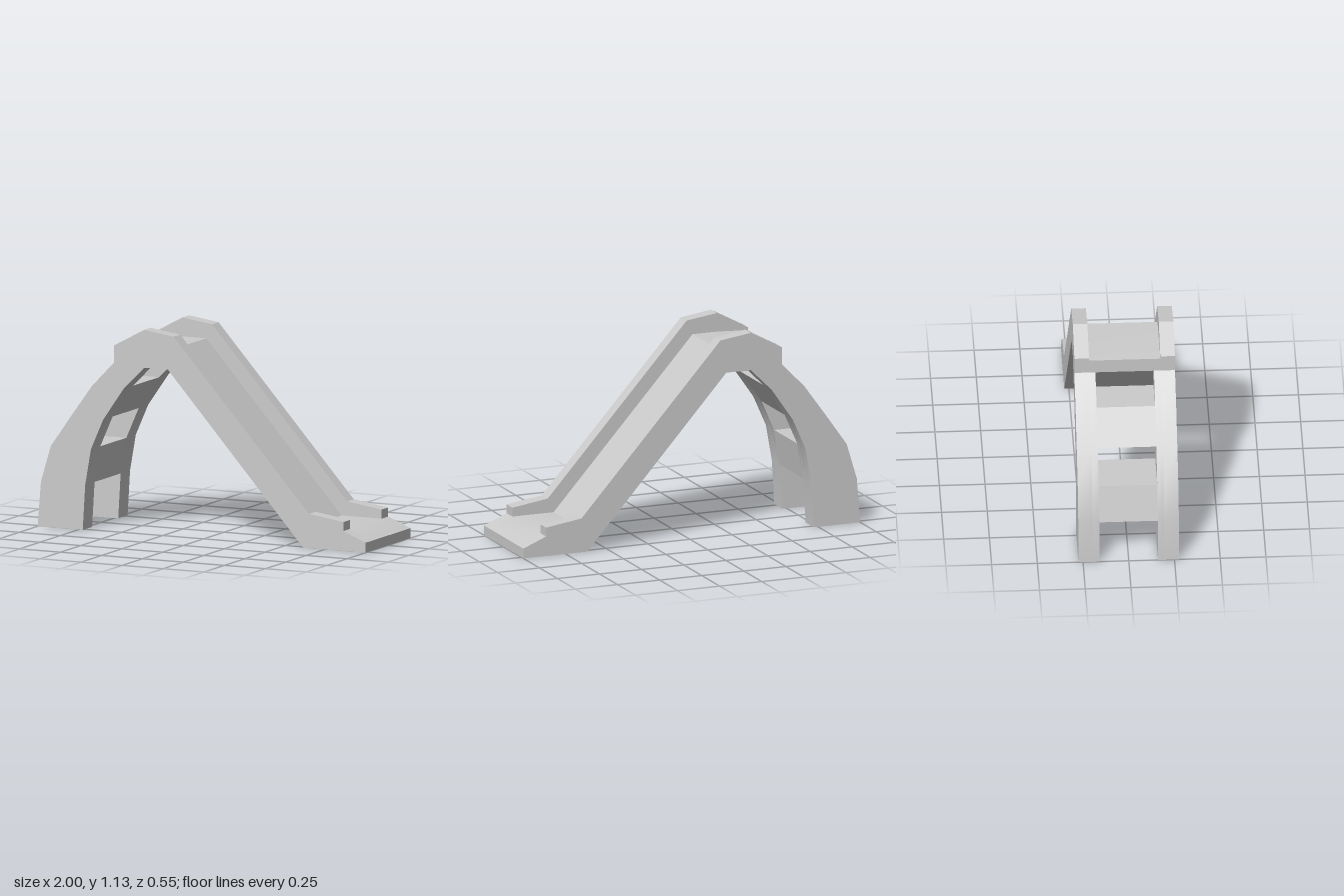
import * as THREE from 'three';
import { toCreasedNormals } from 'three/addons/utils/BufferGeometryUtils.js';

const material = new THREE.MeshStandardMaterial({ color: 0xcccccc });

// Half widths: whole slide, chute between the rails, gap between the legs
const OUTER = 0.275, CHUTE = 0.195, GAP = 0.16;

// Curved ladder edges, from the ground up
const back = [[-1, 0], [-0.98, 0.25], [-0.92, 0.45], [-0.8, 0.62], [-0.67, 0.8], [-0.535, 0.94]];
const inner = [[-0.725, 0], [-0.71, 0.25], [-0.675, 0.45], [-0.6, 0.62], [-0.475, 0.8], [-0.35, 0.925]];

// Extrudes an xy profile between two z positions
function slab(name, points, z0, z1) {
  const shape = new THREE.Shape(points.map(([x, y]) => new THREE.Vector2(x, y)));
  const geometry = new THREE.ExtrudeGeometry(shape, { depth: z1 - z0, bevelEnabled: false });
  geometry.translate(0, 0, z0);
  const mesh = new THREE.Mesh(toCreasedNormals(geometry, 0.5), material);
  mesh.name = name;
  return mesh;
}

// Ladder cross-section between two levels of the curved edges
function ladderSection(from, to) {
  return [...back.slice(from, to + 1), ...inner.slice(from, to + 1).reverse()];
}

export function createModel() {
  const group = new THREE.Group();
  group.name = 'playgroundSlide';

  // Side panels: leg, guard rail and foot in one outline
  const side = [
    ...back,
    [-0.535, 1.035], [-0.35, 1.135], [-0.17, 1.11], // guard rail
    [0.655, 0.19], [0.865, 0.16], [0.865, 0.11], // rail end
    [1, 0.055], [1, 0], [0.62, 0], [-0.205, 0.925], // exit foot and underside
    ...[...inner].reverse(),
  ];
  group.add(slab('leftSidePanel', side, CHUTE, OUTER));
  group.add(slab('rightSidePanel', side, -OUTER, -CHUTE));

  // Inner thickness of the legs, wider than the rails
  const leg = ladderSection(0, 5);
  group.add(slab('leftLegLining', leg, GAP, CHUTE));
  group.add(slab('rightLegLining', leg, -CHUTE, -GAP));

  // Platform, chute and exit between the rails
  group.add(slab('chute', [
    [-0.535, 0.94], [-0.535, 1.02], [-0.35, 1.03], [-0.205, 1.03],
    [0.62, 0.11], [0.865, 0.11], [1, 0.055], [1, 0], [0.62, 0],
    [-0.205, 0.925], [-0.35, 0.925],
  ], -CHUTE, CHUTE));

  // Steps bridging the legs
  group.add(slab('lowerStep', ladderSection(1, 2), -GAP, GAP));
  group.add(slab('upperStep', ladderSection(3, 4), -GAP, GAP));

  return group;
}
